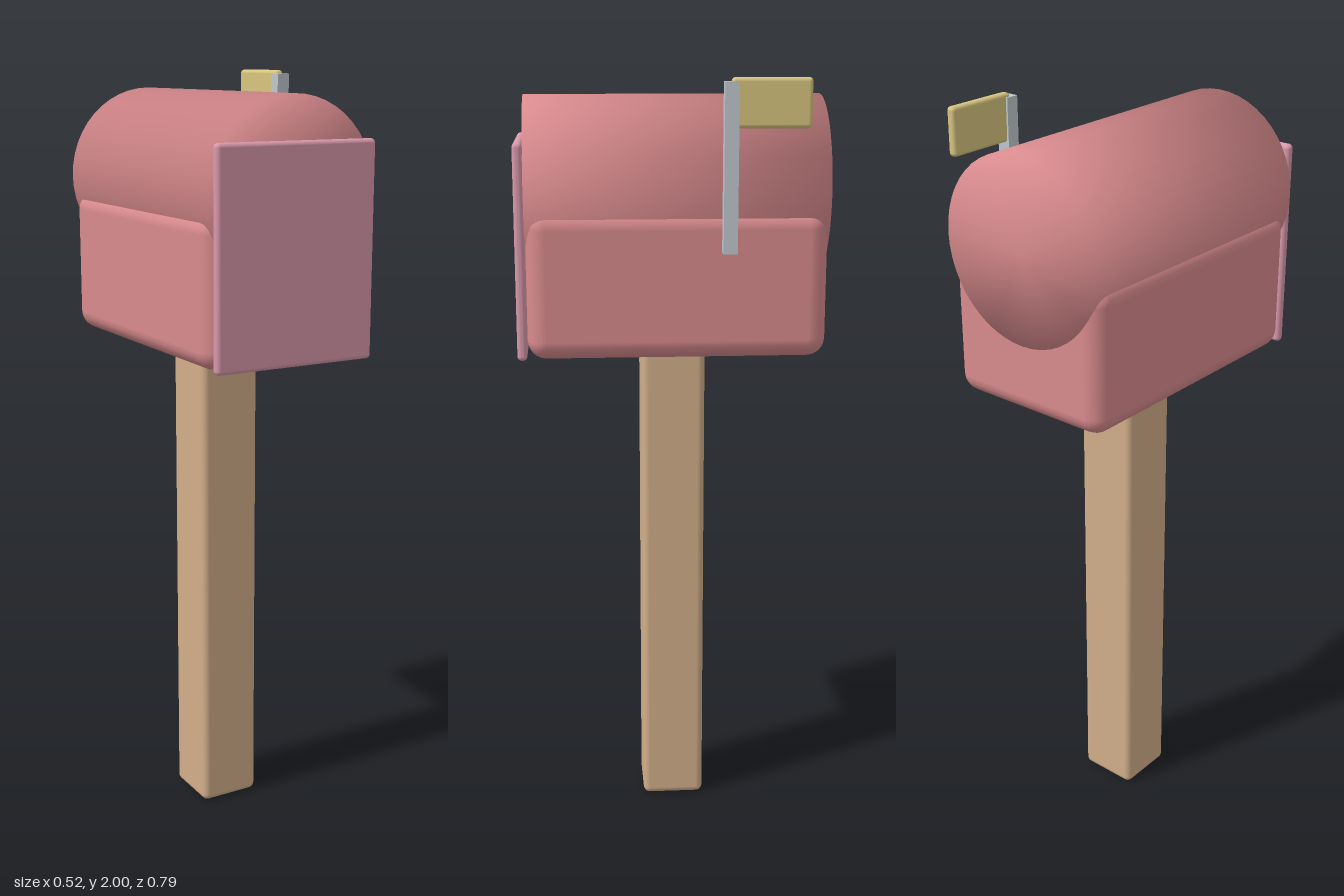
import * as THREE from 'three';
import { RoundedBoxGeometry } from 'three/addons/geometries/RoundedBoxGeometry.js';

function material(name, color) {
  const m = new THREE.MeshStandardMaterial({ color });
  m.name = name;
  return m;
}

// Rounded block given by its [min, max] range on each axis
function block(name, mat, [x0, x1], [y0, y1], [z0, z1], radius, segments = 3) {
  const size = [x1 - x0, y1 - y0, z1 - z0];
  const geometry = radius > 0
    ? new RoundedBoxGeometry(...size, segments, radius)
    : new THREE.BoxGeometry(...size);
  const mesh = new THREE.Mesh(geometry, mat);
  mesh.name = name;
  mesh.position.set((x0 + x1) / 2, (y0 + y1) / 2, (z0 + z1) / 2);
  return mesh;
}

// Closed barrel whose normals run smoothly over the end rims
function barrelGeometry(radius, length) {
  const geometry = new THREE.CylinderGeometry(radius, radius, length, 48, 1);
  const p = geometry.attributes.position;
  const n = new THREE.Vector3();
  for (let i = 0; i < p.count; i++) {
    n.set(p.getX(i) / radius, Math.sign(p.getY(i)), p.getZ(i) / radius).normalize();
    geometry.attributes.normal.setXYZ(i, n.x, n.y, n.z);
  }
  return geometry.rotateX(Math.PI / 2);
}

export function createModel() {
  const wood = material('tan wood', 0xd2af8a);
  const pink = material('coral pink', 0xd98b8e);
  const rose = material('rose door', 0xd999ab);
  const metal = material('pale metal', 0xc0c8ce);
  const yellow = material('mustard flag', 0xd8c57f);

  const model = new THREE.Group();
  model.name = 'mailbox';

  // Post
  model.add(block('post', wood, [-0.113, 0.054], [0, 1.34], [-0.096, 0.071], 0.018));

  // Lower box and the rounded roof barrel sunk into it
  model.add(block('boxBase', pink, [-0.262, 0.204], [1.305, 1.68], [-0.393, 0.366], 0.048));
  const roof = new THREE.Mesh(barrelGeometry(0.2325, 0.762), pink);
  roof.name = 'roundedRoof';
  roof.position.set(-0.029, 1.72, -0.0135);
  model.add(roof);

  // Front door
  model.add(block('door', rose, [-0.25, 0.192], [1.305, 1.845], [0.367, 0.392], 0.011));

  // Signal flag on the left side
  const signal = new THREE.Group();
  signal.name = 'signalFlag';
  signal.add(block('flagPole', metal, [0.225, 0.26], [1.58, 1.99], [-0.155, -0.12], 0));
  signal.add(block('flag', yellow, [0.23, 0.254], [1.88, 2], [-0.333, -0.137], 0.01));
  model.add(signal);

  return model;
}
